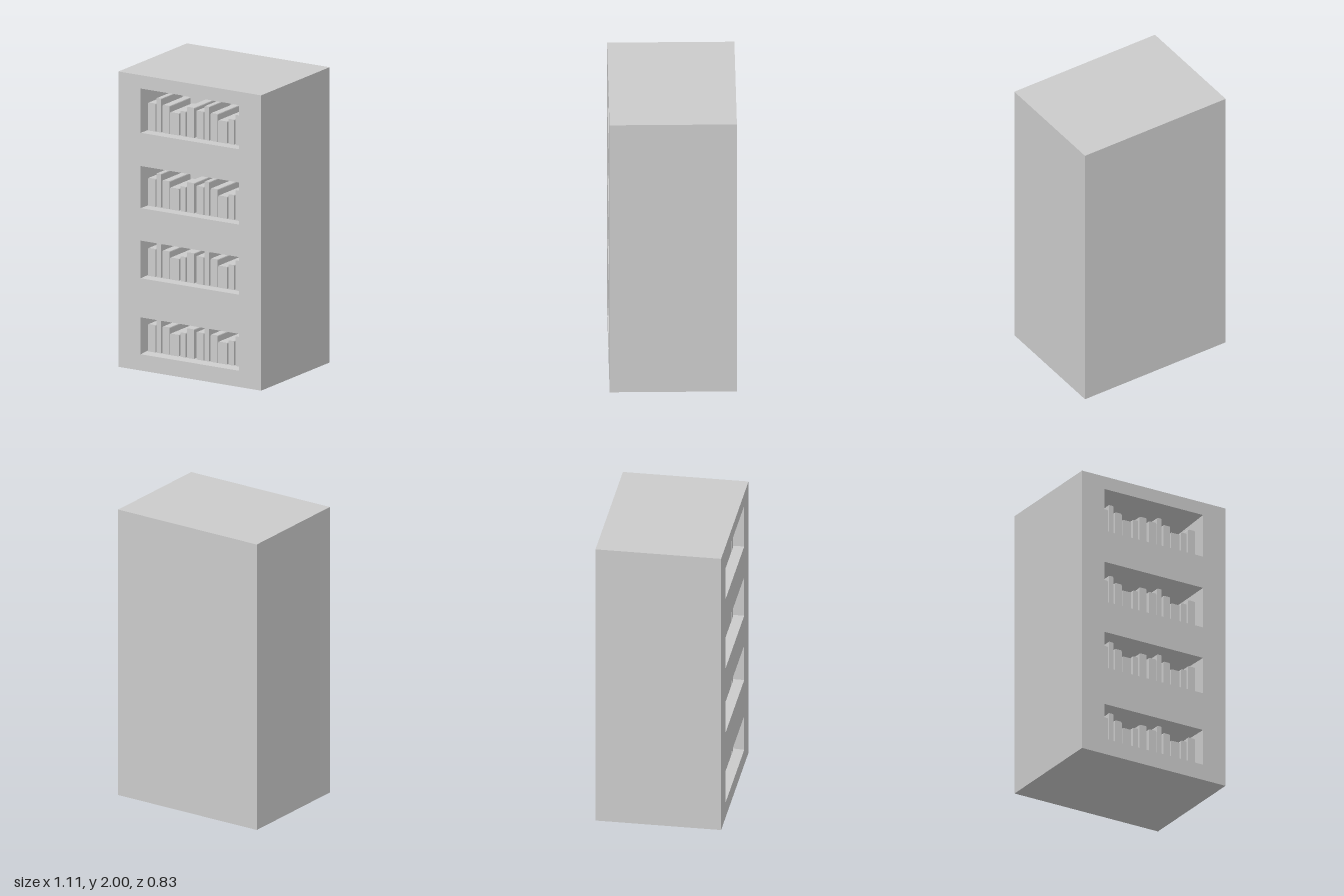
import * as THREE from 'three';

const W = 0.553, H = 2, D = 0.416;
const FLAT = new THREE.MeshStandardMaterial({ color: 0xcccccc, flatShading: true, side: THREE.DoubleSide });

// Shelf openings: front bottom/top, then back bottom/top of the tapered niche
const SHELVES = [
  [1.61, 1.91, 1.61, 1.875],
  [1.1, 1.385, 1.1, 1.37],
  [0.625, 0.88, 0.638, 0.88],
  [0.11, 0.36, 0.138, 0.36],
];
const NICHE_DEPTH = 0.36, NICHE_FRONT = 0.38, NICHE_BACK = 0.368;

// Half a row of books: left edge, width, height
const BOOKS = [
  [-0.367, 0.057, 0.19], [-0.303, 0.035, 0.23], [-0.255, 0.052, 0.19],
  [-0.197, 0.067, 0.15], [-0.118, 0.042, 0.17], [-0.065, 0.053, 0.205],
];
const BOOK_SHIFT = 0.373, BOOK_DEPTH = 0.26, BOOK_SETBACK = 0.07;

const rect = (x, y0, y1, z) => [[-x, y0, z], [x, y0, z], [x, y1, z], [-x, y1, z]];

// Open-fronted tray: four walls between two rectangles plus the back panel
function tray(front, back, inward) {
  const pos = [];
  const quad = (a, b, c, d) => {
    const tris = inward ? [a, c, b, a, d, c] : [a, b, c, a, c, d];
    for (const p of tris) pos.push(...p);
  };
  for (let i = 0; i < 4; i++) {
    const j = (i + 1) % 4;
    quad(front[j], front[i], back[i], back[j]);
  }
  quad(back[1], back[0], back[3], back[2]);
  const g = new THREE.BufferGeometry();
  g.setAttribute('position', new THREE.Float32BufferAttribute(pos, 3));
  g.computeVertexNormals();
  return g;
}

function path(points, Type) {
  return new Type(points.map(([x, y]) => new THREE.Vector2(x, y)));
}

// Book with slightly rounded upper edges, lying along z
function bookGeometry(w, h) {
  const r = Math.min(0.008, w * 0.2);
  const s = new THREE.Shape();
  s.moveTo(0, 0).lineTo(w, 0).lineTo(w, h - r);
  s.quadraticCurveTo(w, h, w - r, h);
  s.lineTo(r, h);
  s.quadraticCurveTo(0, h, 0, h - r);
  s.closePath();
  return new THREE.ExtrudeGeometry(s, { depth: BOOK_DEPTH, bevelEnabled: false, curveSegments: 3 });
}

export function createModel() {
  const model = new THREE.Group();
  model.name = 'bookcase';
  const add = (parent, geometry, name) => {
    const mesh = new THREE.Mesh(geometry, FLAT);
    mesh.name = name;
    parent.add(mesh);
    return mesh;
  };

  // Outer cabinet and the front panel with its openings
  add(model, tray(rect(W, 0, H, D), rect(W, 0, H, -D), false), 'cabinetShell');
  const panel = path(rect(W, 0, H, 0), THREE.Shape);
  for (const [y0, y1] of SHELVES) {
    panel.holes.push(path(rect(NICHE_FRONT, y0, y1, 0).reverse(), THREE.Path));
  }
  add(model, new THREE.ShapeGeometry(panel), 'frontPanel').position.z = D;

  // Recessed niches, each holding the same row of books
  const bookGeometries = BOOKS.map(([, w, h]) => bookGeometry(w, h));
  SHELVES.forEach(([y0, y1, b0, b1], n) => {
    const shelf = new THREE.Group();
    shelf.name = `shelf${n + 1}`;
    model.add(shelf);
    add(shelf, tray(rect(NICHE_FRONT, y0, y1, D), rect(NICHE_BACK, b0, b1, D - NICHE_DEPTH), true), 'niche');
    for (let half = 0; half < 2; half++) {
      BOOKS.forEach(([x], i) => {
        const book = add(shelf, bookGeometries[i], 'book');
        book.position.set(x + half * BOOK_SHIFT, y0 + 0.002, D - BOOK_SETBACK - BOOK_DEPTH);
      });
    }
  });
  return model;
}
